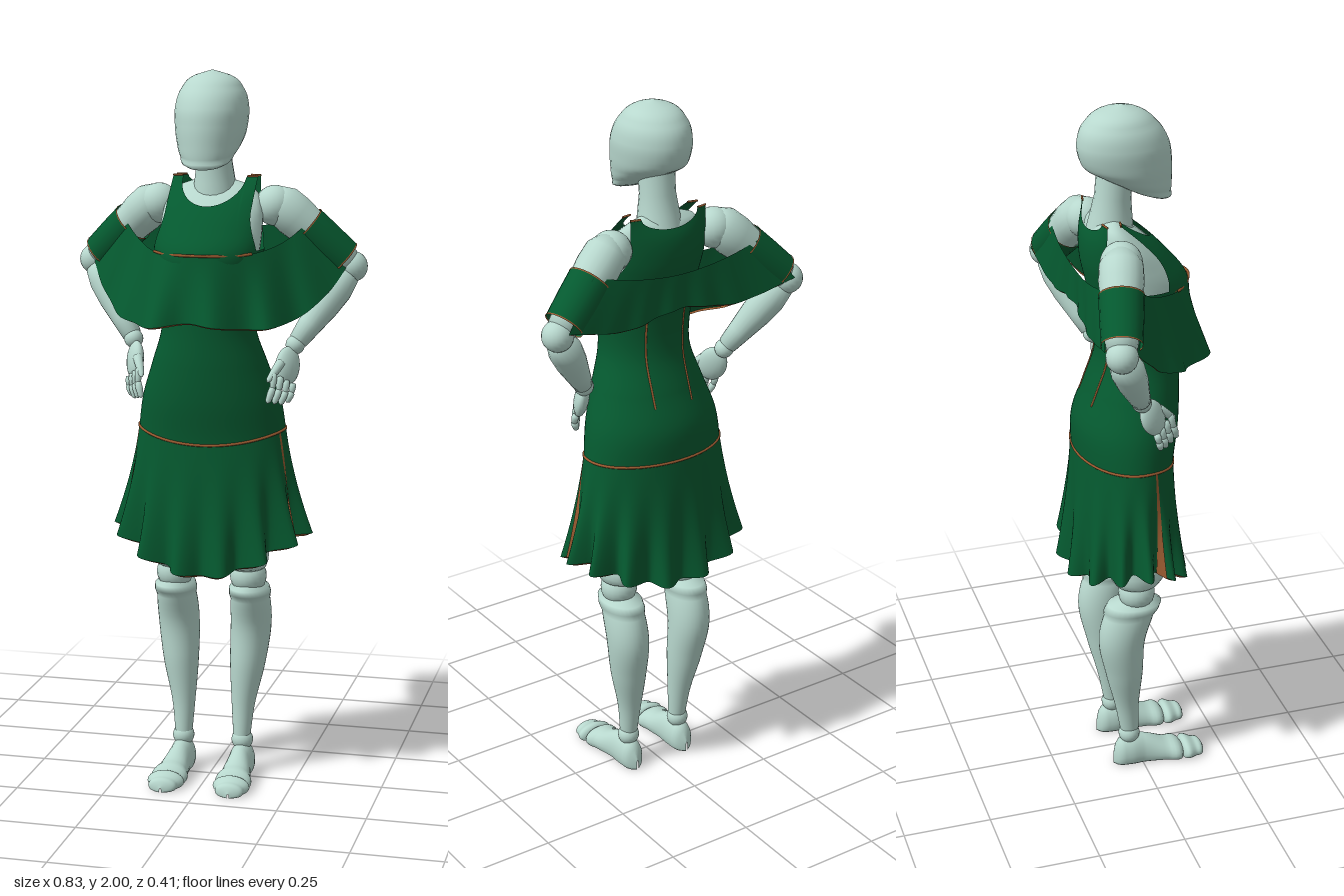
import * as THREE from 'three';
import { ParametricGeometry } from 'three/addons/geometries/ParametricGeometry.js';

const { lerp, smoothstep } = THREE.MathUtils;
const V = (x, y, z) => new THREE.Vector3(x, y, z);

// Smooth body profile; rows are [y, centreX, halfWidth, zFront, zBack]
function profile(rows) {
  const it = new THREE.CubicInterpolant(rows.map(r => r[0]), rows.flatMap(r => r.slice(1)), 4);
  const f = y => {
    const [cx, rx, zf, zb] = it.evaluate(y);
    return { cx, rx: Math.max(rx, 0.0005), mid: (zf + zb) / 2, half: (zf - zb) / 2 };
  };
  f.y0 = rows[0][0];
  f.y1 = rows[rows.length - 1][0];
  return f;
}

export function createModel() {
  const model = new THREE.Group();
  const mat = (name, color, side = THREE.FrontSide) => {
    const m = new THREE.MeshStandardMaterial({ color, side });
    m.name = name;
    return m;
  };
  const skin = mat('pale mannequin', 0xb8d8ce);
  const cloth = mat('green cloth', 0x055a30, THREE.DoubleSide);
  const trim = mat('brown trim', 0x985a30, THREE.DoubleSide);

  const add = (name, geo, material) => {
    const m = new THREE.Mesh(geo, material);
    m.name = name;
    model.add(m);
    return m;
  };
  const surface = (name, fn, nu, nv, material) =>
    add(name, new ParametricGeometry((u, v, t) => t.copy(fn(u, v)), nu, nv), material);
  const ringPoint = (f, a, y) => {
    const p = f(y);
    return V(p.cx + p.rx * Math.sin(a), y, p.mid + p.half * Math.cos(a));
  };
  const body = (name, f, nv = 24, warp = p => p) =>
    surface(name, (u, v) => warp(ringPoint(f, u * Math.PI * 2, lerp(f.y0, f.y1, v))), 32, nv, skin);
  const ball = (name, p, r) => add(name, new THREE.SphereGeometry(r, 20, 14), skin).position.copy(p);
  // Turned piece from a to b; prof holds [radius, fraction along the axis]
  const limb = (name, a, b, prof, material = skin) => {
    const d = b.clone().sub(a), len = d.length();
    const m = add(name, new THREE.LatheGeometry(prof.map(([r, t]) => new THREE.Vector2(r, t * len)), 20), material);
    m.position.copy(a);
    m.quaternion.setFromUnitVectors(V(0, 1, 0), d.normalize());
  };
  const piping = (name, fn, closed, r = 0.004, n = 100) => {
    const pts = Array.from({ length: closed ? n : n + 1 }, (_, i) => fn(i / n));
    add(name, new THREE.TubeGeometry(new THREE.CatmullRomCurve3(pts, closed), n * 2, r, 6, closed), trim);
  };
  // Turned-under hem along the lower edge of a cloth surface
  const hem = (name, fn, n, depth) => surface(name, (u, v) => {
    const p = fn(u, 0), r = Math.hypot(p.x, p.z + 0.033), k = 1 - depth * v / r;
    return V(p.x * k, p.y - 0.4 * depth * v, (p.z + 0.033) * k - 0.033);
  }, n, 2, trim);

  // Head: flat face, jaw rising toward the back
  body('head', profile([
    [1.73, 0, 0.008, 0.08, 0.06], [1.737, 0, 0.05, 0.1, 0.01], [1.76, 0, 0.075, 0.105, -0.06],
    [1.8, 0, 0.09, 0.107, -0.115], [1.85, 0, 0.098, 0.106, -0.14], [1.9, 0, 0.1, 0.097, -0.148],
    [1.95, 0, 0.085, 0.066, -0.13], [1.985, 0, 0.05, 0.02, -0.085], [2, 0, 0.0005, -0.028, -0.029]]), 40,
  p => { p.y += Math.max(0, 0.1 - p.z) * 0.25 * (1 - smoothstep(p.y, 1.73, 1.86)); return p; });
  limb('neck', V(0, 1.62, -0.065), V(0, 1.84, -0.045), [[0.07, 0], [0.057, 0.35], [0.049, 0.6], [0.05, 1]]);

  // Torso under the dress
  body('torso', profile([
    [0.93, 0, 0.05, 0.02, -0.06], [0.98, 0, 0.17, 0.08, -0.13], [1.1, 0, 0.18, 0.105, -0.15],
    [1.2, 0, 0.148, 0.112, -0.118], [1.3, 0, 0.118, 0.112, -0.088], [1.4, 0, 0.123, 0.117, -0.09],
    [1.51, 0, 0.14, 0.137, -0.113], [1.58, 0, 0.142, 0.088, -0.126], [1.65, 0, 0.13, 0.015, -0.125],
    [1.69, 0, 0.09, -0.035, -0.105], [1.705, 0, 0.04, -0.05, -0.08]]), 40);

  for (const s of [1, -1]) {
    const side = s > 0 ? 'left' : 'right';
    // Leg
    body(side + 'Thigh', profile([
      [0.6, s * 0.106, 0.03, 0, -0.04], [0.615, s * 0.105, 0.05, 0.04, -0.075], [0.7, s * 0.1, 0.062, 0.058, -0.088],
      [0.9, s * 0.1, 0.08, 0.068, -0.11], [1.05, s * 0.095, 0.085, 0.06, -0.12]]));
    ball(side + 'Knee', V(s * 0.107, 0.59, -0.02), 0.052);
    body(side + 'Shin', profile([
      [0.115, s * 0.086, 0.025, -0.008, -0.062], [0.2, s * 0.088, 0.033, -0.008, -0.078],
      [0.32, s * 0.098, 0.05, 0, -0.108], [0.44, s * 0.106, 0.058, 0.005, -0.13],
      [0.52, s * 0.108, 0.055, 0.03, -0.115], [0.565, s * 0.108, 0.047, 0.044, -0.09],
      [0.577, s * 0.108, 0.01, 0, -0.03]]));
    ball(side + 'Ankle', V(s * 0.087, 0.098, -0.036), 0.031);
    // Foot pieces run along z; rows are [z, halfWidth, height]
    const footPiece = (name, rows) => {
      const it = new THREE.CubicInterpolant(rows.map(r => r[0]), rows.flatMap(r => r.slice(1)), 2);
      surface(name, (u, v) => {
        const z = lerp(rows[0][0], rows[rows.length - 1][0], v), a = u * Math.PI * 2;
        const [w, h] = it.evaluate(z);
        const c = Math.cos(a);
        return V(s * (0.088 + 0.05 * Math.max(0, z)) - w * Math.sin(a), h * (c > 0 ? 0.35 + 0.65 * c : 0.35 * (1 + Math.max(-1, c * 1.6))), z);
      }, 24, 20, skin);
    };
    footPiece(side + 'Foot', [[-0.085, 0.003, 0.03], [-0.075, 0.022, 0.065], [-0.04, 0.035, 0.09], [0.01, 0.035, 0.085],
      [0.07, 0.043, 0.06], [0.115, 0.046, 0.046], [0.125, 0.025, 0.03]]);
    footPiece(side + 'Toes', [[0.117, 0.02, 0.025], [0.125, 0.045, 0.042], [0.16, 0.042, 0.038], [0.182, 0.03, 0.03], [0.19, 0.003, 0.012]]);

    // Arm with hand on hip
    const shoulder = V(s * 0.18, 1.635, -0.085), elbow = V(s * 0.372, 1.46, -0.142), wrist = V(s * 0.232, 1.25, -0.045);
    ball(side + 'Shoulder', V(s * 0.165, 1.63, -0.08), 0.056);
    limb(side + 'UpperArm', shoulder, elbow, [[0.002, -0.14], [0.038, -0.11], [0.058, 0.02], [0.06, 0.2], [0.052, 0.5], [0.045, 0.8], [0.04, 0.93], [0.002, 0.96]]);
    ball(side + 'Elbow', elbow, 0.043);
    limb(side + 'Forearm', elbow, wrist, [[0.002, 0.06], [0.038, 0.1], [0.046, 0.28], [0.043, 0.5], [0.034, 0.75], [0.027, 0.95], [0.002, 0.98]]);
    ball(side + 'Wrist', wrist, 0.027);
    const palm = add(side + 'Palm', new THREE.SphereGeometry(1, 20, 14), skin);
    palm.scale.set(0.021, 0.056, 0.042);
    palm.position.set(s * 0.218, 1.195, -0.01);
    palm.rotation.set(-0.5, -s * 0.6, -s * 0.1);
    for (let i = 0; i < 4; i++) {
      const a = V(s * (0.234 - i * 0.014), 1.148 + i * 0.011, -0.003 + i * 0.017);
      const tip = V(s * (0.222 - i * 0.014), 1.092 + i * 0.005 + (i === 0 ? 0.008 : 0), 0.012 + i * 0.019);
      const knuckle = a.clone().lerp(tip, 0.5);
      knuckle.x += s * 0.005;
      const pr = [[0.001, -0.1], [0.009, 0], [0.01, 0.4], [0.008, 0.95], [0.001, 1.12]];
      limb(side + 'FingerBase' + i, a, knuckle, pr);
      limb(side + 'FingerTip' + i, knuckle, tip, pr);
    }
    limb(side + 'Thumb', V(s * 0.205, 1.21, 0.012), V(s * 0.18, 1.165, 0.062), [[0.001, -0.1], [0.014, 0.05], [0.011, 0.6], [0.008, 0.95], [0.001, 1.1]]);

    // Sleeve band on the upper arm
    limb(side + 'Sleeve', shoulder, elbow, [[0.06, 0.36], [0.058, 0.6], [0.054, 0.87]], cloth);
    limb(side + 'SleeveTopTrim', shoulder, elbow, [[0.061, 0.35], [0.061, 0.365]], trim);
    limb(side + 'SleeveEndTrim', shoulder, elbow, [[0.055, 0.865], [0.055, 0.88]], trim);
  }

  // Fitted dress body
  const dress = profile([
    [0.95, 0, 0.215, 0.1, -0.165], [1, 0, 0.21, 0.105, -0.166], [1.1, 0, 0.195, 0.12, -0.165],
    [1.2, 0, 0.162, 0.126, -0.132], [1.3, 0, 0.131, 0.126, -0.102], [1.4, 0, 0.135, 0.131, -0.103],
    [1.51, 0, 0.152, 0.15, -0.126], [1.58, 0, 0.155, 0.1, -0.14], [1.65, 0, 0.15, 0.03, -0.138],
    [1.71, 0, 0.15, -0.055, -0.115]]);
  const seam = a => 1.015 - 0.032 * Math.max(0, Math.cos(a)) ** 2;
  surface('dressBody', (u, v) => {
    const a = u * Math.PI * 2;
    return ringPoint(dress, a, lerp(seam(a), 1.52, v));
  }, 56, 30, cloth);

  // Chest and back panels with a round neckline, rising to the shoulder straps
  const panelWidth = y => lerp(0.145, 0.12, smoothstep(y, 1.5, 1.62));
  for (const s of [1, -1]) {
    const low = s > 0 ? 1.635 : 1.675;
    const panel = (u, v) => {
      const t = s * (2 * u - 1);
      const scoop = 1 - Math.sqrt(1 - Math.min(1, Math.abs(t) / 0.75) ** 2);
      const y = lerp(1.49, lerp(low, 1.71, scoop), v);
      const p = dress(y), x = t * panelWidth(y);
      return V(x, y, p.mid + s * p.half * Math.sqrt(Math.max(0, 1 - (x / p.rx) ** 2)));
    };
    surface(s > 0 ? 'chestPanel' : 'backPanel', panel, 64, 16, cloth);
    piping('strapSeam', t => panel(0.12 * t, 1), false, 0.003, 8);
    piping('strapSeam', t => panel(1 - 0.12 * t, 1), false, 0.003, 8);
  }

  // Flared skirt with folds growing toward an uneven hem
  const skirt = (u, v) => {
    const a = u * Math.PI * 2, s = 1 - v, c = Math.cos(a);
    const y = lerp(seam(a), 0.72 - (c > 0 ? 0.105 : 0.07) * c * c, s);
    const top = ringPoint(dress, a, seam(a));
    const r = 1 - 0.12 * s * Math.cos(14 * a);
    return V(lerp(top.x, 0.258 * Math.sin(a) * r, s), y, lerp(top.z, -0.033 + 0.16 * c * r, s));
  };
  surface('skirt', skirt, 168, 16, cloth);
  hem('skirtHem', skirt, 168, 0.02);
  piping('hipSeam', t => skirt(t, 1), true);
  for (const s of [1, -1]) {
    // Strip on the rear slope of the side fold
    surface('skirtSideStrip', (u, v) => {
      const p = skirt(0.5 - s * 0.3 + (u - 0.5) * lerp(0.016, 0.008, v), v);
      return V(p.x + Math.sign(p.x) * 0.003, p.y, p.z - 0.004);
    }, 4, 16, trim);
    // Back darts
    piping('backDart', t => {
      const y = lerp(1.17, 1.44, t), p = dress(y), x = s * 0.06;
      return V(x, y, p.mid - p.half * Math.sqrt(1 - (x / p.rx) ** 2));
    }, false, 0.003, 16);
  }

  // Off-shoulder ruffle, front and back
  const mirrored = pts => new THREE.CatmullRomCurve3([
    ...pts.slice(1).reverse().map(([x, y, z]) => V(-x, y, z)), ...pts.map(p => V(...p))]);
  const ruffle = (name, topPts, lowPts, wave) => {
    const top = mirrored(topPts), low = mirrored(lowPts);
    const fn = (u, v) => {
      const p = low.getPoint(u).lerp(top.getPoint(u), v);
      p.z += wave * (1 - v) * Math.sin(u * Math.PI) ** 2 * Math.cos((u - 0.47) * 44);
      return p;
    };
    surface(name, fn, 80, 12, cloth);
    hem(name + 'Hem', fn, 80, 0.01);
    return fn;
  };
  const front = ruffle('frontRuffle',
    [[0, 1.512, 0.155], [0.125, 1.512, 0.092], [0.2, 1.535, 0], [0.25, 1.575, -0.05], [0.275, 1.6, -0.075]],
    [[0, 1.33, 0.185], [0.15, 1.315, 0.15], [0.25, 1.333, 0.045], [0.325, 1.4, -0.05], [0.378, 1.49, -0.125]], -0.024);
  piping('chestSeam', t => front(lerp(0.36, 0.64, t), 1), false, 0.004, 40);
  ruffle('backRuffle',
    [[0, 1.555, -0.16], [0.14, 1.57, -0.162], [0.27, 1.6, -0.155]],
    [[0, 1.46, -0.165], [0.18, 1.44, -0.175], [0.365, 1.475, -0.185]], 0.004);

  return model;
}
